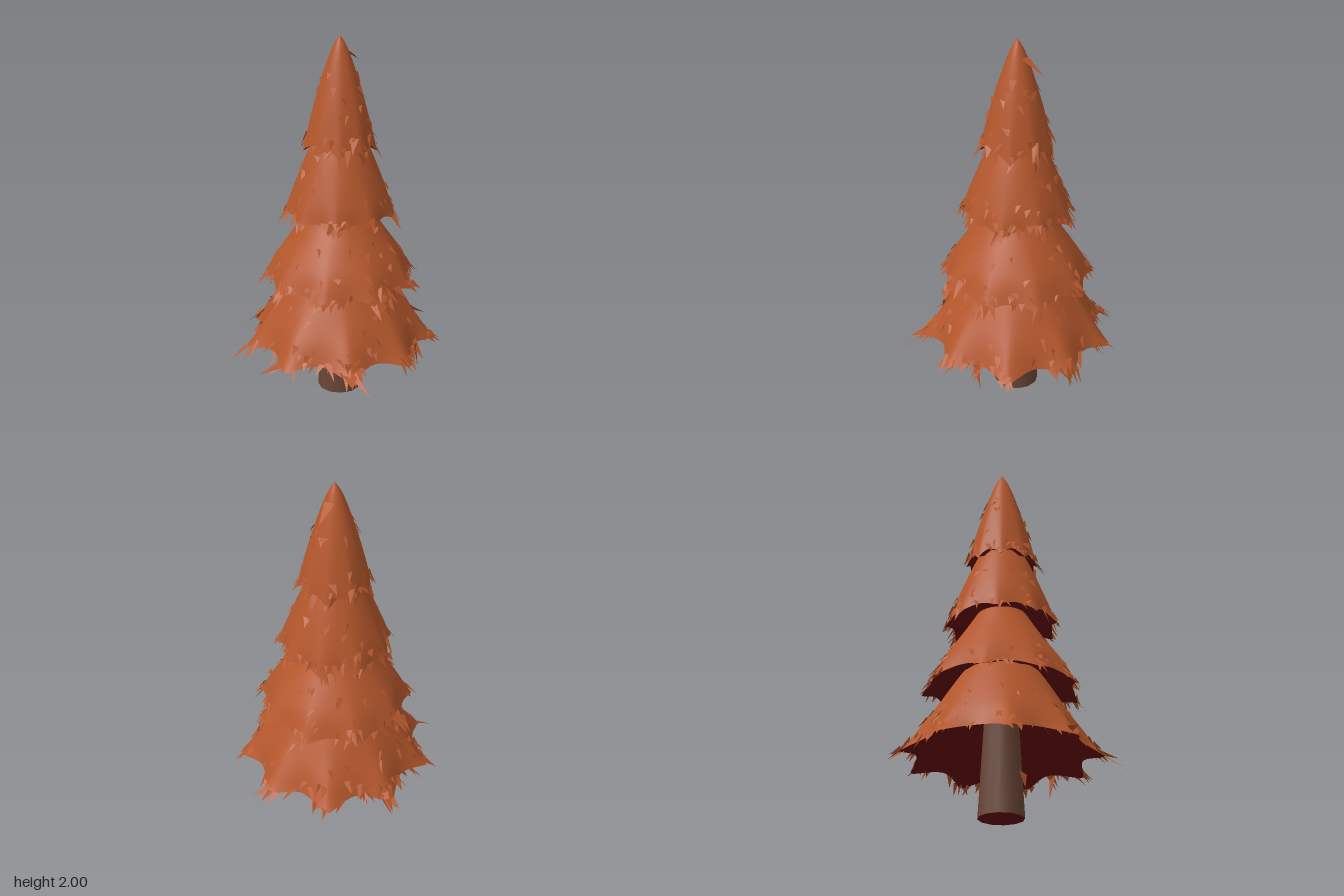
import * as THREE from 'three';
import { mergeVertices } from 'three/addons/utils/BufferGeometryUtils.js';

const CX = -0.01, CZ = -0.04, POINTS = 9, SEG = 108;

// Each tier: profile [radius, height] from top to hem, depth of the hem points, phase, hollow height, needle count
const TIERS = [
  { name: 'bottomTier', profile: [[0.185, 0.8], [0.258, 0.69], [0.333, 0.565], [0.395, 0.45], [0.437, 0.34]], amp: 0.095, drop: 0.035, phase: 0.15, rise: 0.21, needles: 150, size: 1.15 },
  { name: 'lowerMiddleTier', profile: [[0.135, 1.11], [0.197, 1.01], [0.263, 0.91], [0.33, 0.8], [0.37, 0.7]], amp: 0.05, drop: 0.035, phase: 0.47, rise: 0.15, needles: 140, size: 1.05 },
  { name: 'upperMiddleTier', profile: [[0.115, 1.49], [0.163, 1.39], [0.215, 1.26], [0.253, 1.15], [0.27, 1.072]], amp: 0.035, drop: 0.035, phase: 0.33, rise: 0.1, needles: 120, size: 1 },
  { name: 'topTier', profile: [[0, 2], [0.036, 1.94], [0.08, 1.82], [0.127, 1.66], [0.156, 1.54], [0.177, 1.44]], amp: 0.02, drop: 0.045, phase: 0.25, rise: 0.06, needles: 95, size: 0.95 },
];

function seeded(seed) {
  return () => {
    seed = (seed * 1664525 + 1013904223) % 4294967296;
    return seed / 4294967296;
  };
}

// Point on a tier's skin: sharp hem points with rounded bays between them
function tierSurface(tier) {
  const curve = new THREE.SplineCurve(tier.profile.map(([r, y]) => new THREE.Vector2(r, y)));
  return (a, t) => {
    const p = curve.getPoint(t);
    const star = 1 - Math.abs(Math.sin((POINTS / 2) * (a - tier.phase)));
    const r = p.x + tier.amp * star * t ** 4;
    const y = p.y - tier.drop * star * t ** 6;
    return new THREE.Vector3(CX + r * Math.cos(a), y, CZ + r * Math.sin(a));
  };
}

// Closed rings joined into a smooth skin
function ringSkin(rows, pointAt) {
  const pos = [], index = [];
  for (let i = 0; i <= rows; i++) {
    for (let j = 0; j < SEG; j++) pos.push(...pointAt((j / SEG) * Math.PI * 2, i).toArray());
  }
  for (let i = 0; i < rows; i++) {
    for (let j = 0; j < SEG; j++) {
      const k = (j + 1) % SEG, a = i * SEG + j, b = i * SEG + k;
      index.push(a, b, a + SEG, b, b + SEG, a + SEG);
    }
  }
  let g = new THREE.BufferGeometry();
  g.setAttribute('position', new THREE.Float32BufferAttribute(pos, 3));
  g.setIndex(index);
  g = mergeVertices(g, 1e-5);
  g.computeVertexNormals();
  return g;
}

// Flat needle: a triangle with its base on the skin and its tip at the given point
function addNeedle(list, base, tip, across, width) {
  const side = across.clone().multiplyScalar(width / 2);
  list.push(...base.clone().sub(side).toArray(), ...base.clone().add(side).toArray(), ...tip.toArray());
}

function needleGeometry(list) {
  const g = new THREE.BufferGeometry();
  g.setAttribute('position', new THREE.Float32BufferAttribute(list, 3));
  g.computeVertexNormals();
  return g;
}

export function createModel() {
  const group = new THREE.Group();
  const material = (name, color, side = THREE.FrontSide) => {
    const m = new THREE.MeshStandardMaterial({ color, side });
    m.name = name;
    return m;
  };
  const foliage = material('rust foliage', 0xb4572c, THREE.DoubleSide);
  const shade = material('dark red underside', 0x640b10, THREE.DoubleSide);
  const bark = material('brown bark', 0x694535);
  const add = (parent, name, geometry, mat) => {
    const mesh = new THREE.Mesh(geometry, mat);
    mesh.name = name;
    parent.add(mesh);
    return mesh;
  };

  // Trunk, with a dark cut face below
  const trunk = add(group, 'trunk', new THREE.CylinderGeometry(0.086, 0.12, 0.6, 12, 1, true), bark);
  trunk.position.set(CX, 0.3, CZ);
  const cut = add(group, 'trunkBase', new THREE.CircleGeometry(0.12, 12), shade);
  cut.rotation.x = Math.PI / 2;
  cut.position.set(CX, 0.001, CZ);

  TIERS.forEach((tier, n) => {
    const part = new THREE.Group();
    part.name = tier.name;
    group.add(part);
    const at = tierSurface(tier);
    const rand = seeded(71 + n * 37);

    // Outer skin, then a hollow rising from the hem toward the trunk
    add(part, 'branches', ringSkin(16, (a, i) => at(a, i / 16)), foliage);
    const peak = new THREE.Vector3(CX, tier.profile.at(-1)[1] + tier.rise, CZ);
    add(part, 'underside', ringSkin(5, (a, i) => at(a, 1).lerp(peak, i * 0.17)), shade);

    // Needles, crowded toward the hem
    const needles = [];
    for (let i = 0; i < tier.needles; i++) {
      const hem = rand() < 0.72;
      // Some hem needles gather at the hem points
      const tuft = hem && rand() < 0.4;
      const corner = tier.phase + Math.floor(rand() * POINTS) * (Math.PI * 2 / POINTS);
      const a = tuft ? corner + (rand() - 0.5) * 0.2 : rand() * Math.PI * 2;
      const t = hem ? 0.84 + rand() * 0.16 : 0.4 + rand() * 0.45;
      const base = at(a, t);
      const down = at(a, t).sub(at(a, t - 0.05)).normalize();
      const out = new THREE.Vector3(Math.cos(a), 0, Math.sin(a));
      const across = new THREE.Vector3(-Math.sin(a), 0, Math.cos(a));
      const dir = down.clone().addScaledVector(out, 0.12 + rand() * 0.35)
        .addScaledVector(across, (rand() - 0.5) * 1.3).normalize();
      const length = tier.size * (hem ? 0.035 + rand() ** 2 * 0.07 : 0.03 + rand() * 0.035);
      const roll = across.clone().applyAxisAngle(dir, (rand() - 0.5) * 1.2);
      addNeedle(needles, base.clone().addScaledVector(out, 0.002), base.addScaledVector(dir, length), roll, 0.018 + rand() * 0.028);
    }
    add(part, 'needles', needleGeometry(needles), foliage);
  });

  // Longer stray needles: base, tip, width
  const strays = [];
  [
    [[0.02, 0.33, 0.46], [0.1, 0.27, 0.6], 0.04],
    [[0.005, 0.34, 0.44], [0.01, 0.3, 0.55], 0.1],
    [[-0.34, 0.34, 0.33], [-0.47, 0.31, 0.38], 0.04],
    [[0.41, 0.33, -0.3], [0.51, 0.29, -0.29], 0.05],
    [[0.48, 0.33, 0.03], [0.55, 0.27, 0.03], 0.04],
    [[-0.48, 0.33, 0.03], [-0.55, 0.29, 0.07], 0.04],
    [[-0.18, 0.33, -0.53], [-0.19, 0.29, -0.59], 0.04],
    [[0.15, 0.33, -0.5], [0.19, 0.3, -0.57], 0.04],
    [[0.025, 1.91, -0.075], [0.1, 1.84, -0.165], 0.055],
    [[-0.06, 0.22, 0.075], [-0.09, 0.13, 0.09], 0.06],
    [[0.09, 0.25, -0.08], [0.12, 0.17, -0.15], 0.07],
    [[0.38, 0.35, 0.19], [0.4, 0.21, 0.17], 0.04],
  ].forEach(([b, t, w]) => {
    const base = new THREE.Vector3(...b), tip = new THREE.Vector3(...t);
    const outward = new THREE.Vector3(b[0] - CX, 0.15, b[2] - CZ);
    addNeedle(strays, base, tip, tip.clone().sub(base).cross(outward).normalize(), w);
  });
  add(group, 'strayNeedles', needleGeometry(strays), foliage);

  return group;
}
